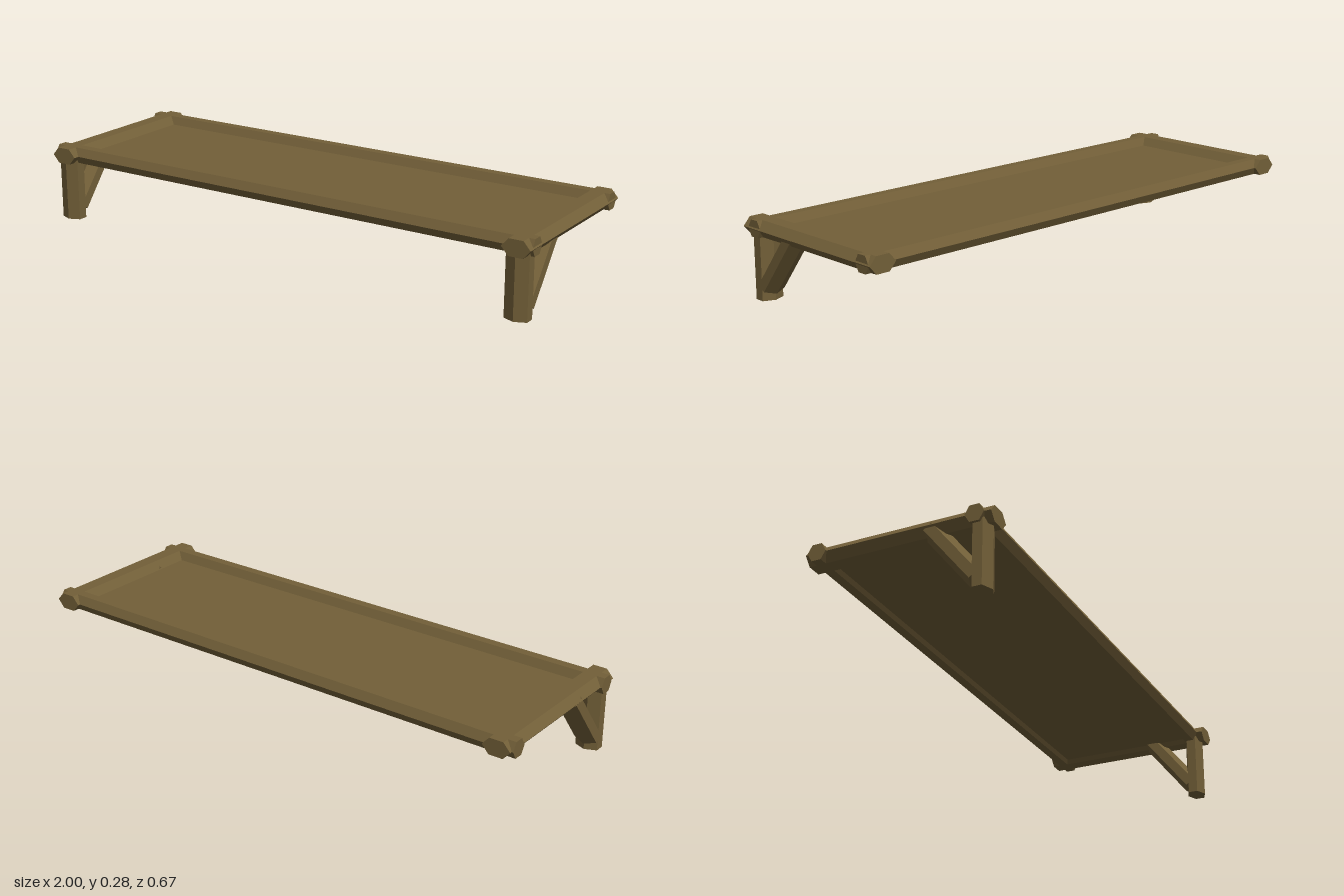
import * as THREE from 'three';

export function createModel() {
  const group = new THREE.Group();
  group.name = 'woodenShelf';
  const wood = new THREE.MeshStandardMaterial({ color: 0x725f38 });
  wood.name = 'wood';

  // Six-sided beam along y: corners point to +-z (tip), flats face +-x (flat)
  const beam = (tip, flat, length) =>
    new THREE.CylinderGeometry(1, 1, length, 6).scale(flat / 0.866, 1, tip);

  const add = (name, geometry, x, y, z) => {
    const faceted = geometry.toNonIndexed();
    faceted.computeVertexNormals();
    const mesh = new THREE.Mesh(faceted, wood);
    mesh.name = name;
    mesh.position.set(x, y, z);
    group.add(mesh);
  };

  const frameY = 0.2515;

  // Long rails, front and back
  for (const [name, z] of [['frontRail', 0.278], ['backRail', -0.29]]) {
    add(name, beam(0.034, 0.0295, 1.996).rotateZ(Math.PI / 2), -0.002, frameY, z);
  }

  // Each end: cross rail, leg and diagonal brace
  for (const [side, railX, legX] of [['left', 0.948, 0.941], ['right', -0.943, -0.948]]) {
    add(side + 'EndRail',
      beam(0.052, 0.0295, 0.667).rotateY(Math.PI / 2).rotateX(Math.PI / 2), railX, frameY, 0);
    add(side + 'Leg', beam(0.035, 0.042, 0.25), legX, 0.125, 0.285);
    add(side + 'Brace', beam(0.035, 0.042, 0.264).rotateX(-0.668), legX, 0.148, 0.19);
  }

  // Thin board set into the frame
  add('board', new THREE.BoxGeometry(1.83, 0.015, 0.53), 0, 0.2445, -0.006);

  return group;
}
